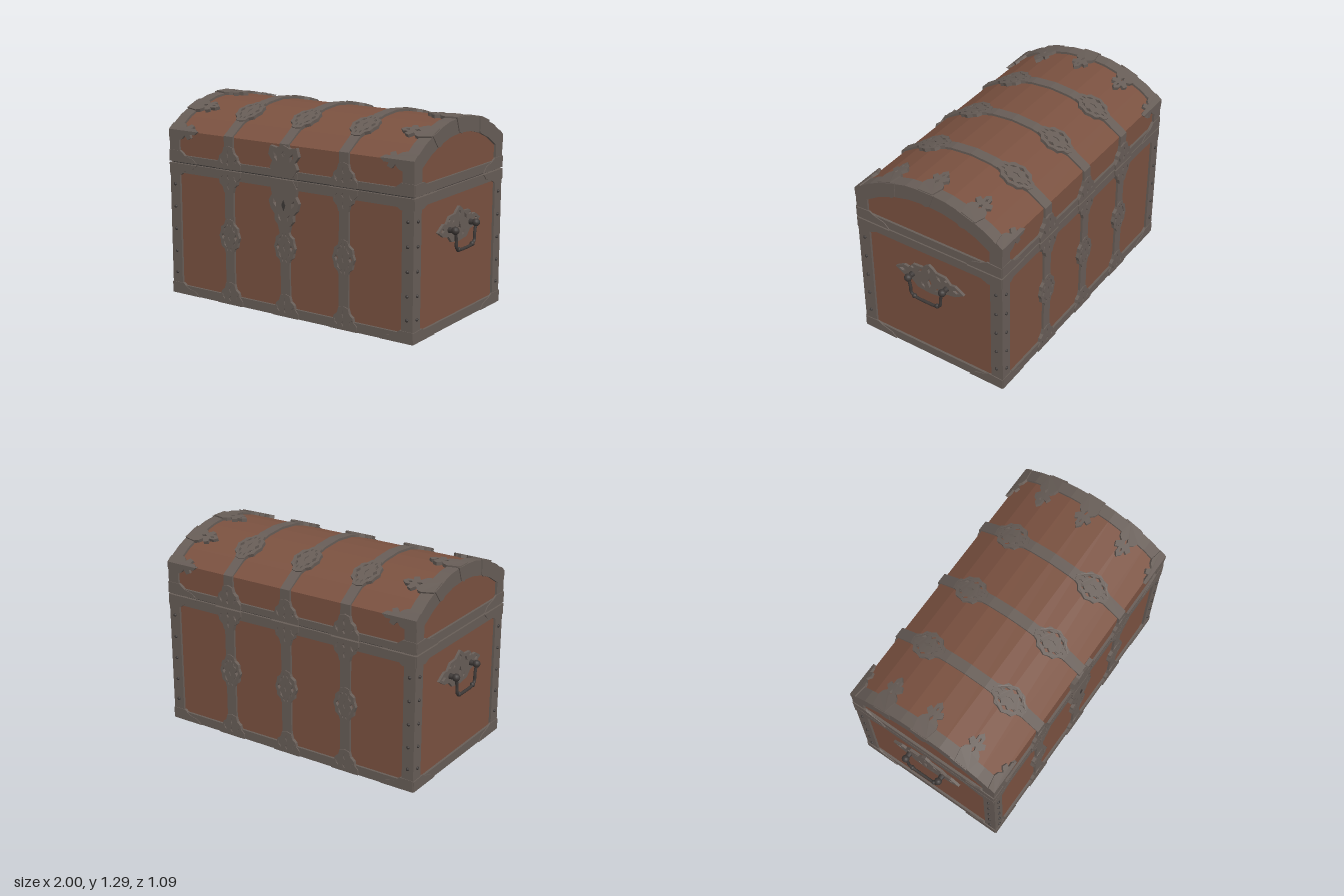
import * as THREE from 'three';

const mat = (name, color) => Object.assign(new THREE.MeshStandardMaterial({ color }), { name });

// Chest section: vertical walls to SPRING, then a shallow arc
const W = 0.93, D = 0.53, SPRING = 1.1, R = 0.85, CY = 0.435, INSET = 0.015;
const HALF = Math.asin(D / R), ARC = 2 * R * HALF, TOTAL = 2 * SPRING + ARC;

// Point on the section at distance s from the front foot, pushed out by off -> [y, z]
function section(s, off) {
  if (s <= SPRING) return [s, D + off];
  if (s >= SPRING + ARC) return [TOTAL - s, -D - off];
  const a = HALF - (s - SPRING) / R;
  return [CY + (R + off) * Math.cos(a), (R + off) * Math.sin(a)];
}

// Wrap a flat geometry (x across, y along the section, z outward) onto the chest
function wrap(geo, x0, s0) {
  const g = geo.index ? geo.toNonIndexed() : geo;
  const p = g.attributes.position;
  for (let i = 0; i < p.count; i++) {
    const [y, z] = section(s0 + p.getY(i), p.getZ(i));
    p.setXYZ(i, p.getX(i) + x0, y, z);
  }
  g.computeVertexNormals();
  return g;
}

const toShape = pts => new THREE.Shape(pts.map(([x, y]) => new THREE.Vector2(x, y)));
const toHole = pts => new THREE.Path(pts.map(([x, y]) => new THREE.Vector2(x, y)));
const mirrorX = pts => [...pts, ...pts.slice().reverse().filter(p => p[0] !== 0).map(([x, y]) => [-x, y])];
const leaf = (x, y, w, h, a = 0) => [[0, -h], [w, 0], [0, h], [-w, 0]].map(([u, v]) =>
  [x + u * Math.cos(a) - v * Math.sin(a), y + u * Math.sin(a) + v * Math.cos(a)]);

function extrude(pts, holes, z0, z1) {
  const s = toShape(pts);
  s.holes = holes.map(toHole);
  const g = new THREE.ExtrudeGeometry(s, { depth: z1 - z0, bevelEnabled: false });
  return g.translate(0, 0, z0);
}

// Arched outline in (z, y)
function archOutline(half, bottom, r) {
  const a = Math.asin(half / r), pts = [[-half, bottom], [half, bottom]];
  for (let i = 0; i <= 8; i++) {
    const t = a - (2 * a * i) / 8;
    pts.push([r * Math.sin(t), CY + r * Math.cos(t)]);
  }
  return pts;
}

const rect = (a, b, c, d) => [[a, b], [c, b], [c, d], [a, d]];

export function createModel() {
  const root = new THREE.Group();
  root.name = 'treasureChest';
  const wood = mat('wood', 0x7a5140);
  const iron = mat('iron', 0x675d57);
  const dark = mat('darkIron', 0x3d3836);

  const add = (name, geo, m, parent = root) => {
    const mesh = new THREE.Mesh(geo, m);
    mesh.name = name;
    parent.add(mesh);
    return mesh;
  };
  const box = (name, m, x0, x1, y0, y1, z0, z1) => add(name,
    new THREE.BoxGeometry(x1 - x0, y1 - y0, z1 - z0).translate((x0 + x1) / 2, (y0 + y1) / 2, (z0 + z1) / 2), m);

  // Wooden body, dark seam and arched lid
  const wx = W - INSET, wz = D - INSET;
  box('woodBody', wood, -wx, wx, 0.002, 0.878, -wz, wz);
  box('seam', dark, -wx, wx, 0.87, 0.9, -wz, wz);
  add('woodLid', extrude(archOutline(wz, 0.892, R - INSET), [], -wx, wx).rotateY(Math.PI / 2), wood);

  // Iron frames around both ends
  for (const side of [-1, 1]) {
    const x0 = side > 0 ? 0.85 : -W, x1 = side > 0 ? W : -0.85;
    add('bodyEndFrame', extrude(rect(-D, 0, D, 0.88), [rect(-0.445, 0.06, 0.445, 0.82)], x0, x1)
      .rotateY(Math.PI / 2), iron);
    add('lidEndFrame', extrude(archOutline(D, 0.89, R), [archOutline(0.445, 0.945, 0.755)], x0, x1)
      .rotateY(Math.PI / 2), iron);
  }

  // Long bands on the front and back
  for (const f of [-1, 1]) {
    const z0 = f > 0 ? wz - 0.01 : -D, z1 = f > 0 ? D : -wz + 0.01;
    box('baseBand', iron, -0.86, 0.86, 0, 0.06, z0, z1);
    box('bodyRimBand', iron, -0.86, 0.86, 0.82, 0.88, z0, z1);
    box('lidRimBand', iron, -0.86, 0.86, 0.89, 0.935, z0, z1);
  }

  // Ornamental plates wrapped on the section
  const plate = (name, pts, holes, x0, s0, top = 0.007) =>
    add(name, wrap(extrude(pts, holes, -INSET, top), x0, s0), iron);
  const medallion = mirrorX([[0, -0.125], [0.035, -0.115], [0.045, -0.085], [0.075, -0.065], [0.078, -0.035],
    [0.092, 0], [0.078, 0.035], [0.075, 0.065], [0.045, 0.085], [0.035, 0.115], [0, 0.125]]);
  const medallionHoles = [leaf(0, 0, 0.011, 0.03)];
  for (const sx of [-1, 1]) {
    medallionHoles.push(leaf(sx * 0.058, 0, 0.014, 0.024));
    for (const sy of [-1, 1]) medallionHoles.push(leaf(sx * 0.04, sy * 0.052, 0.009, 0.024, sx * sy * 0.5),
      leaf(sx * 0.015, sy * 0.085, 0.007, 0.016));
  }
  const footHalf = [[0.1, 0], [0.1, 0.035], [0.075, 0.06], [0.07, 0.085], [0.045, 0.105], [0.035, 0.14], [0, 0.15]];
  const foot = dir => mirrorX(footHalf.map(([x, y]) => [x, y * dir]));
  const footHoles = dir => [leaf(0, dir * 0.1, 0.009, 0.025), leaf(0.055, dir * 0.05, 0.008, 0.022, -0.5 * dir),
    leaf(-0.055, dir * 0.05, 0.008, 0.022, 0.5 * dir), leaf(0, dir * 0.04, 0.012, 0.018)];

  const lidS = SPRING + R * (HALF - Math.asin(0.3 / R));
  const strap = (name, x, s0, s1, n) => add(name,
    wrap(new THREE.BoxGeometry(0.07, s1 - s0, INSET, 1, n).translate(0, 0, -INSET / 2 + 0.001), x, (s0 + s1) / 2), iron);
  for (const x of [-0.44, 0, 0.44]) {
    strap('lidStrap', x, SPRING, SPRING + ARC, 8);
    for (const f of [1, -1]) {
      const at = y => (f > 0 ? y : TOTAL - y);
      strap('bodyStrap', x, Math.min(at(0), at(0.88)), Math.max(at(0), at(0.88)), 1);
      strap('lidFrontStrap', x, Math.min(at(0.89), at(SPRING)), Math.max(at(0.89), at(SPRING)), 1);
      plate('lidMedallion', medallion, medallionHoles, x, at(lidS));
      plate('bodyMedallion', medallion.map(([u, v]) => [u * 0.88, v * 0.95]),
        medallionHoles.map(h => h.map(([u, v]) => [u * 0.88, v * 0.95])), x, at(0.45));
      const raise = f < 0 && x !== 0 ? 0.012 : 0.007;
      plate('footPlate', foot(f), footHoles(f), x, at(0));
      plate('seamPlate', foot(-f), footHoles(-f), x, at(0.88), raise);
      plate('lidSeamPlate', foot(f), footHoles(f), x, at(0.89), raise);
    }
  }

  // Front lock: hasp on the lid, tapering plate on the body
  plate('lockHasp', mirrorX([[0.07, 0.9], [0.105, 0.95], [0.085, 0.99], [0.115, 1.03], [0.1, 1.085], [0.05, 1.075], [0, 1.095]]),
    [leaf(0.06, 1.02, 0.012, 0.03, -0.4), leaf(-0.06, 1.02, 0.012, 0.03, 0.4), leaf(0, 1.04, 0.012, 0.02)], 0, 0, 0.012);
  plate('lockPlate', mirrorX([[0, 0.54], [0.035, 0.55], [0.045, 0.59], [0.07, 0.62], [0.07, 0.66], [0.1, 0.69], [0.115, 0.74],
    [0.09, 0.78], [0.1, 0.83], [0.07, 0.88], [0, 0.88]]),
  [leaf(0.07, 0.73, 0.012, 0.03, -0.4), leaf(-0.07, 0.73, 0.012, 0.03, 0.4), leaf(0.035, 0.64, 0.009, 0.025, -0.4),
    leaf(-0.035, 0.64, 0.009, 0.025, 0.4)], 0, 0, 0.012);
  add('keyhole', extrude(leaf(0, 0.72, 0.014, 0.035), [], 0.54, 0.546), dark);

  // Leaf-shaped claws reaching in from both ends
  const clawHalf = [[0.93, 0.05], [0.85, 0.066], [0.82, 0.055], [0.8, 0.03], [0.775, 0.058], [0.745, 0.045],
    [0.755, 0.022], [0.72, 0.022], [0.695, 0]];
  for (const sx of [-1, 1]) {
    const up = clawHalf.map(([x, y]) => [x * sx, y]);
    const down = up.map(([x, y]) => [x, -y]);
    const full = [...up, ...down.slice(0, -1).reverse()];
    const holes = [leaf(0.81 * sx, 0, 0.022, 0.01), leaf(0.745 * sx, 0, 0.016, 0.007)];
    for (const s of [lidS, SPRING + ARC / 2, TOTAL - lidS]) plate('lidClaw', full, holes, 0, s);
    const halfUp = [...up, [0.93 * sx, 0]], halfDown = [...down, [0.93 * sx, 0]];
    for (const s of [SPRING, SPRING + ARC]) {
      plate('shoulderClaw', halfUp, [], 0, s, 0.004);
      plate('shoulderClaw', halfDown, [], 0, s, 0.004);
    }
    const corner = [[0.93, 0], [0.7, 0], [0.74, 0.03], [0.8, 0.045], [0.84, 0.075], [0.93, 0.075]];
    const cut = dir => corner.map(([x, y]) => [x * sx, y * dir]);
    for (const f of [1, -1]) {
      const at = y => (f > 0 ? y : TOTAL - y);
      plate('cornerClaw', cut(f), [], 0, at(0), 0.004);
      plate('cornerClaw', cut(-f), [], 0, at(0.88), 0.004);
      plate('cornerClaw', cut(f), [], 0, at(0.89), 0.004);
    }
  }

  // Fittings of each end, modelled facing +z and turned to the side
  for (const side of [-1, 1]) {
    const end = new THREE.Group();
    end.name = side > 0 ? 'leftEndFittings' : 'rightEndFittings';
    end.rotation.y = side * Math.PI / 2;
    root.add(end);

    // Corner claws and rivets
    for (const m of [-1, 1]) {
      const claw = (y, d) => add('endClaw', extrude([[0.53, 0], [0.285, 0], [0.32, 0.035], [0.39, 0.055], [0.43, 0.075],
        [0.53, 0.07]].map(([u, v]) => [u * m, y + v * d]), [], 0.925, 0.936), iron, end);
      claw(0, 1);
      claw(0.88, -1);
      claw(0.89, 1);
      for (const y of [0.145, 0.29, 0.44, 0.59, 0.74])
        add('endRivet', new THREE.SphereGeometry(0.011, 8, 6).translate(m * 0.485, y, W), dark, end);
    }
    // Claw ends folded over the arched rim
    for (const z of [-0.28, 0, 0.28]) {
      const g = extrude([[-0.062, 0], [-0.03, -0.09], [0, -0.1], [0.03, -0.09], [0.062, 0]], [], 0.925, 0.936);
      const a = Math.asin(z / R);
      add('rimClaw', g.rotateZ(-a).translate(z, CY + R * Math.cos(a), 0), iron, end);
    }

    // Pierced handle plate
    const platePts = mirrorX([[0, 0.52], [0.09, 0.53], [0.13, 0.57], [0.19, 0.58], [0.255, 0.62], [0.19, 0.66], [0.155, 0.655],
      [0.12, 0.695], [0.05, 0.7], [0.03, 0.72], [0, 0.74]]);
    const holes = [leaf(0, 0.695, 0.011, 0.025), leaf(0, 0.6, 0.016, 0.04)];
    for (const m of [-1, 1]) holes.push(leaf(m * 0.2, 0.62, 0.026, 0.014), leaf(m * 0.07, 0.665, 0.011, 0.026, m * 0.7),
      leaf(m * 0.05, 0.565, 0.011, 0.024, -m * 0.6), leaf(m * 0.125, 0.67, 0.016, 0.01));
    add('handlePlate', extrude(platePts, holes, wx - 0.005, W + 0.002), iron, end);

    // Knobs and hanging bail
    for (const m of [-1, 1]) {
      add('handlePost', new THREE.CylinderGeometry(0.014, 0.02, 0.06, 10).rotateX(Math.PI / 2)
        .translate(m * 0.127, 0.615, 0.95), dark, end);
      add('handleKnob', new THREE.SphereGeometry(0.025, 12, 8).translate(m * 0.127, 0.615, 0.975), dark, end);
      add('handleBead', new THREE.SphereGeometry(0.016, 10, 8).translate(m * 0.085, 0.49, 0.975), dark, end);
    }
    const path = new THREE.CatmullRomCurve3([[-0.125, 0.61], [-0.112, 0.55], [-0.11, 0.51], [-0.085, 0.488], [0, 0.482],
      [0.085, 0.488], [0.11, 0.51], [0.112, 0.55], [0.125, 0.61]].map(([x, y]) => new THREE.Vector3(x, y, 0.975)));
    add('handleBail', new THREE.TubeGeometry(path, 32, 0.01, 8), dark, end);

    // Rivets on front and back edges, corner plates under the base
    for (const f of [-1, 1]) {
      for (const y of [0.145, 0.29, 0.44, 0.59, 0.74])
        add('edgeRivet', new THREE.SphereGeometry(0.011, 8, 6).translate(side * 0.89, y, f * D), dark);
      add('baseCorner', extrude([[W, D], [0.7, D], [0.72, 0.46], [0.82, 0.34], [W, 0.3]].map(([x, z]) => [x * side, z * f]),
        [], -0.006, 0).rotateX(Math.PI / 2), iron);
    }
  }
  return root;
}
